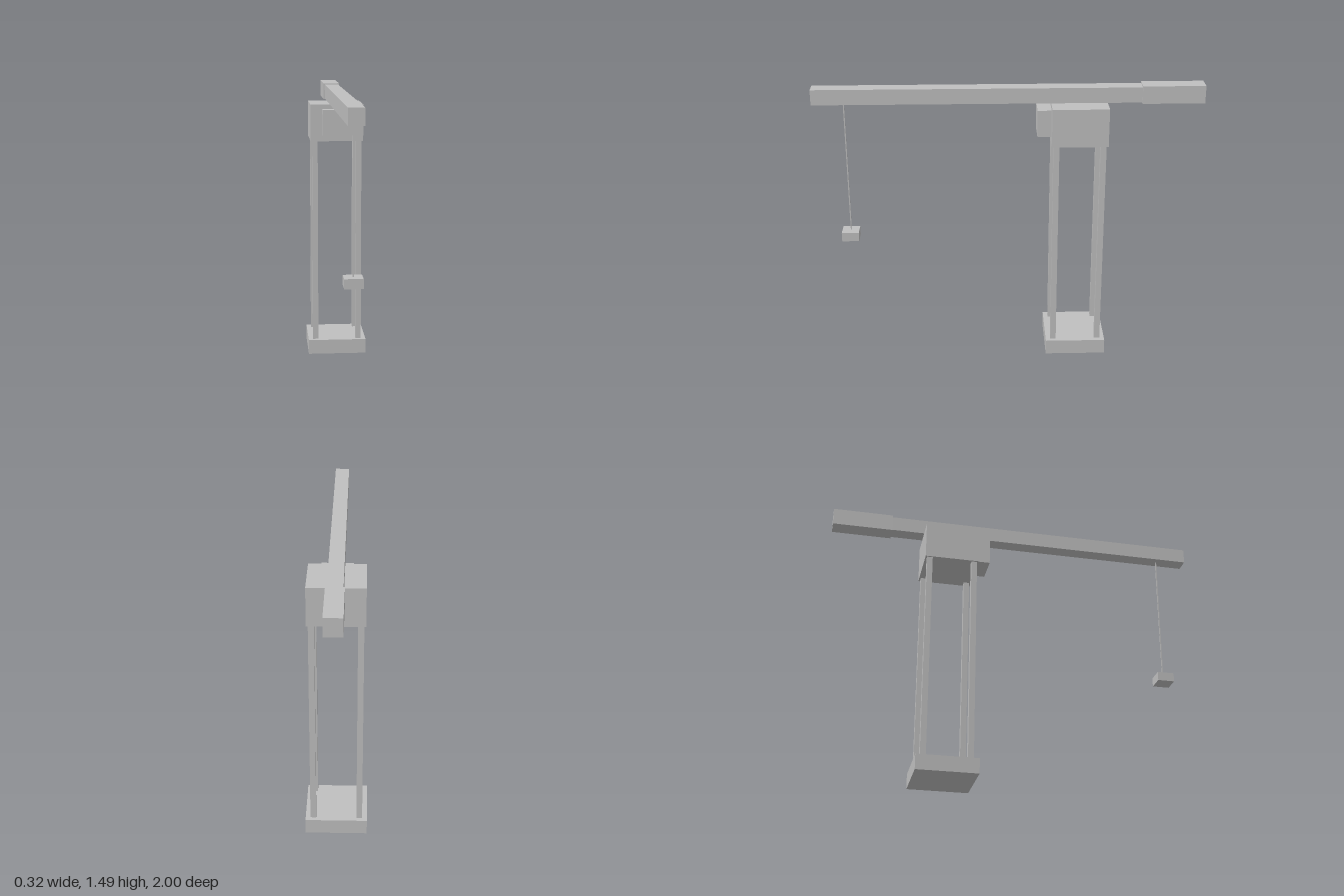
import * as THREE from 'three';

export function createModel() {
  const crane = new THREE.Group();
  crane.name = 'towerCrane';
  const grey = new THREE.MeshStandardMaterial({ color: 0xbfbfbf });
  grey.name = 'grey';

  // Box given by its size, centre x, bottom y and centre z
  function box(name, w, h, d, x, y, z) {
    const mesh = new THREE.Mesh(new THREE.BoxGeometry(w, h, d), grey);
    mesh.name = name;
    mesh.position.set(x, y + h / 2, z);
    crane.add(mesh);
    return mesh;
  }

  const towerZ = -0.36;

  // Tower: footing, four legs, machinery house
  box('base', 0.32, 0.08, 0.32, 0, 0, towerZ);
  for (const sx of [-1, 1]) {
    for (const sz of [-1, 1]) {
      box('towerLeg', 0.03, 1.12, 0.03, sx * 0.12, 0.08, towerZ + sz * 0.12);
    }
  }
  box('machineryHouse', 0.288, 0.2, 0.288, 0, 1.2, towerZ);

  // Operator cab on the front of the house
  box('operatorCab', 0.16, 0.14, 0.08, 0, 1.235, -0.185);

  // Jib, with the counterweight wrapped around its back end
  box('jib', 0.077, 0.08, 1.98, 0, 1.4, 0.01);
  box('counterweight', 0.09, 0.092, 0.32, 0, 1.395, -0.84);

  // Cable and hook block
  box('cable', 0.006, 0.71, 0.006, 0, 0.69, 0.84);
  box('hookBlock', 0.09, 0.048, 0.09, 0, 0.642, 0.842);

  return crane;
}
